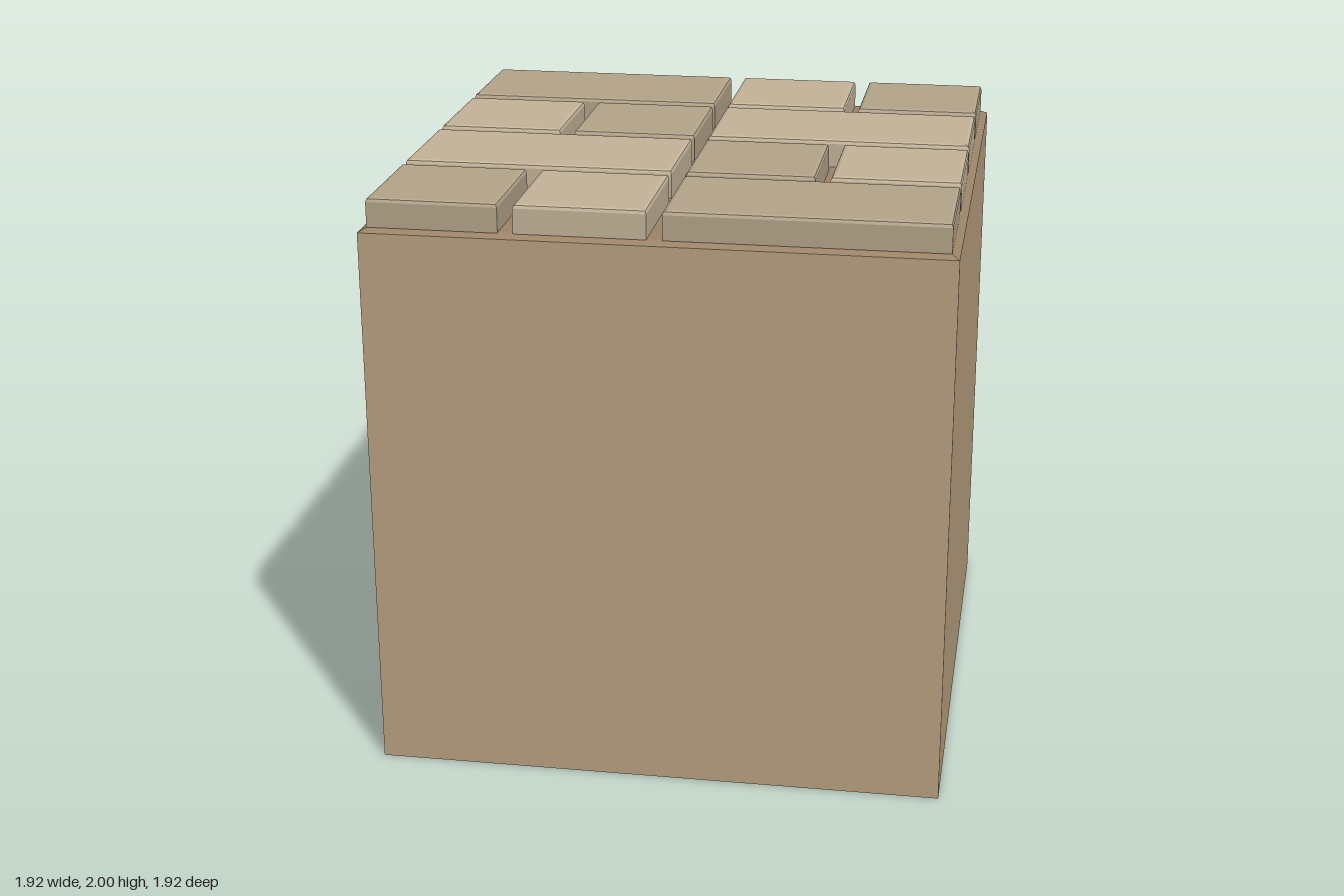
import * as THREE from 'three';

const HALF = 0.96;      // half width of the block
const CELL = 0.48;      // paving grid spacing
const INSET = 0.025;    // half of the joint between slabs
const BEVEL = 0.014;

const material = (color) => new THREE.MeshStandardMaterial({ color, flatShading: true });

// Flat slab with softened edges, standing on y = 0
function slabGeometry(width, depth, height) {
  const w = width / 2 - BEVEL, d = depth / 2 - BEVEL;
  const shape = new THREE.Shape([
    new THREE.Vector2(-w, -d), new THREE.Vector2(w, -d),
    new THREE.Vector2(w, d), new THREE.Vector2(-w, d),
  ]);
  const geometry = new THREE.ExtrudeGeometry(shape, {
    depth: height - 2 * BEVEL, bevelEnabled: true,
    bevelSize: BEVEL, bevelThickness: BEVEL, bevelSegments: 2,
  });
  return geometry.rotateX(-Math.PI / 2).translate(0, BEVEL, 0);
}

export function createModel() {
  const group = new THREE.Group();
  const stone = material(0xb8a180);
  const joint = material(0x9c8468);
  const tones = { light: material(0xc4b499), dark: material(0xb5a48a) };

  // Solid block
  const block = new THREE.Mesh(new THREE.BoxGeometry(2 * HALF, 1.89, 2 * HALF), stone);
  block.name = 'block';
  block.position.y = 1.89 / 2;
  group.add(block);

  // Thin joint bed with sloped rim
  const bedGeometry = new THREE.CylinderGeometry(0.93 * Math.SQRT2, HALF * Math.SQRT2, 0.014, 4)
    .rotateY(Math.PI / 4);
  const bed = new THREE.Mesh(bedGeometry, joint);
  bed.name = 'jointBed';
  bed.position.y = 1.897;
  group.add(bed);

  // Paving rows from back to front: [cells wide, tone]
  const rows = [
    [[2, 'dark'], [1, 'light'], [1, 'dark']],
    [[1, 'light'], [1, 'dark'], [2, 'light']],
    [[2, 'light'], [1, 'dark'], [1, 'light']],
    [[1, 'dark'], [1, 'light'], [2, 'dark']],
  ];
  const paving = new THREE.Group();
  paving.name = 'paving';
  rows.forEach((row, r) => {
    let x = -HALF;
    for (const [cells, tone] of row) {
      const width = cells * CELL;
      const slab = new THREE.Mesh(
        slabGeometry(width - 2 * INSET, CELL - 2 * INSET, 0.11), tones[tone]);
      slab.name = 'pavingSlab';
      slab.position.set(x + width / 2, 1.89, -HALF + (r + 0.5) * CELL);
      paving.add(slab);
      x += width;
    }
  });
  group.add(paving);
  return group;
}
